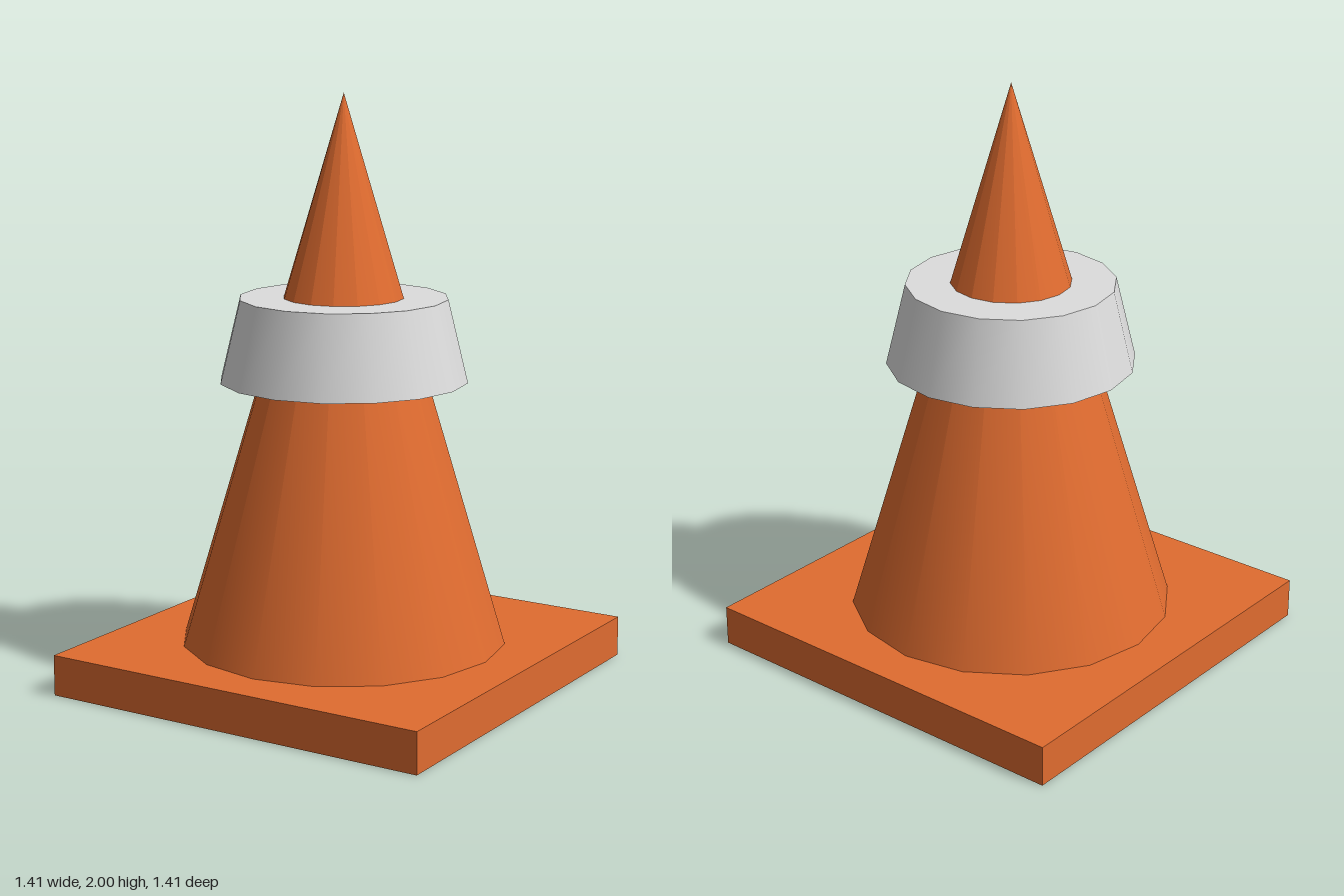
import * as THREE from 'three';

const SIDES = 16;

export function createModel() {
  const model = new THREE.Group();
  model.name = 'trafficCone';

  const orange = new THREE.MeshStandardMaterial({ color: 0xe06c30 });
  orange.name = 'orange';
  const white = new THREE.MeshStandardMaterial({ color: 0xdddddd });
  white.name = 'off white';

  const add = (name, geometry, material, y) => {
    const mesh = new THREE.Mesh(geometry, material);
    mesh.name = name;
    mesh.position.y = y;
    model.add(mesh);
  };

  // Square foot plate
  add('base', new THREE.BoxGeometry(1.41, 0.14, 1.41), orange, 0.07);

  // Pointed body standing on the plate
  add('cone', new THREE.ConeGeometry(0.556, 1.86, SIDES), orange, 0.14 + 0.93);

  // Thick tapered collar around the body
  add('band', new THREE.CylinderGeometry(0.353, 0.421, 0.28, SIDES), white, 1.18);

  return model;
}
